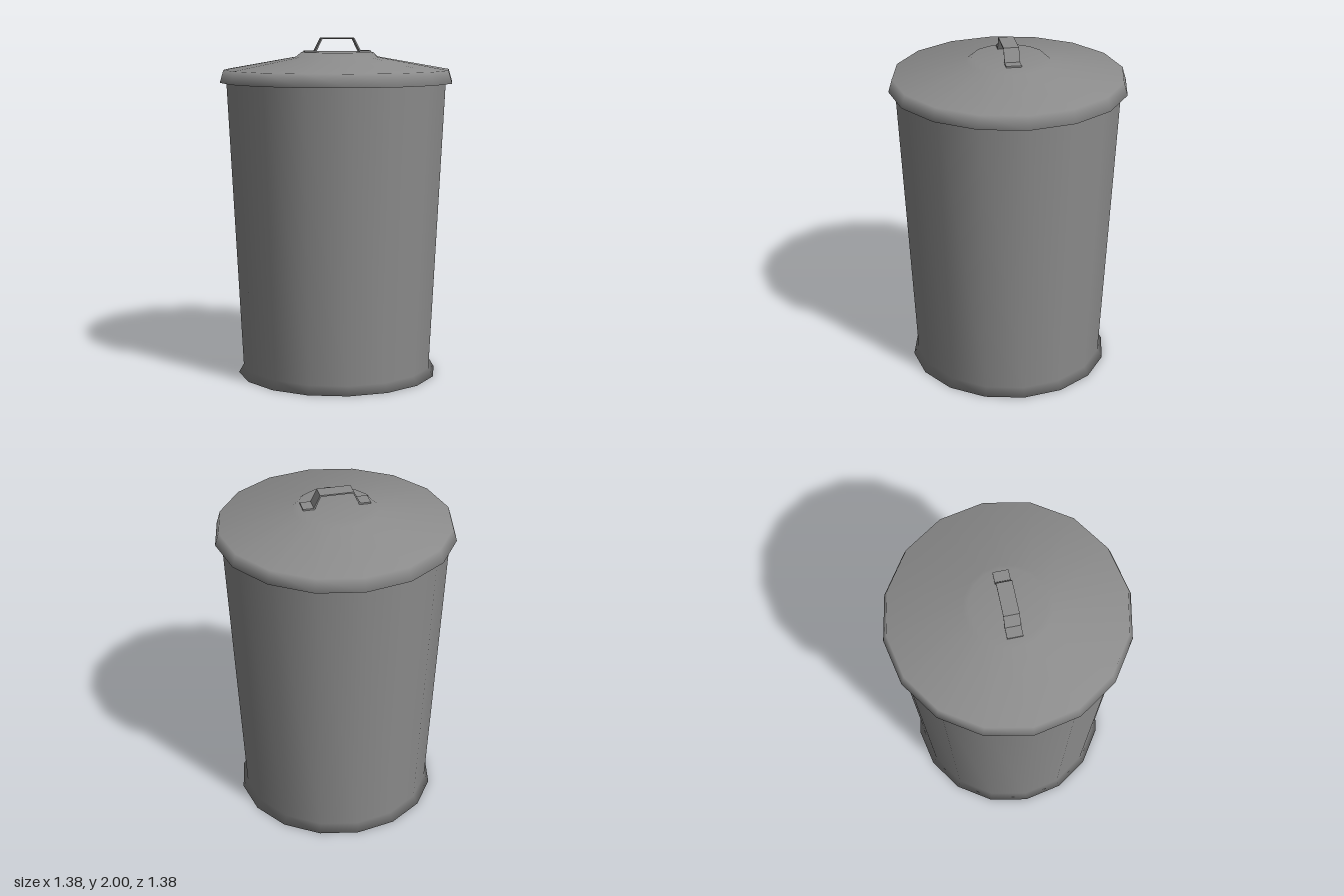
import * as THREE from 'three';

const SIDES = 16;
const FOOT_RADIUS = 0.595;
const material = new THREE.MeshStandardMaterial({ color: 0x8c8c8c });

function part(name, geometry) {
  const mesh = new THREE.Mesh(geometry, material);
  mesh.name = name;
  return mesh;
}

// Turned shape from [radius, height] pairs, listed from bottom to top
function turned(profile) {
  return new THREE.LatheGeometry(profile.map(([r, y]) => new THREE.Vector2(r, y)), SIDES);
}

// Soft shading that rolls from the wall over the foot and under the bottom
function softenFoot(geometry) {
  const { position, normal } = geometry.attributes;
  const n = new THREE.Vector3();
  for (let i = 0; i < position.count; i++) {
    n.fromBufferAttribute(position, i).setY(0).normalize();
    n.y = position.getY(i) < 0.01 ? -0.57 : -0.05;
    n.normalize();
    normal.setXYZ(i, n.x, n.y, n.z);
  }
  return geometry;
}

// Flat bottom, one polygon facing down
function bottomGeometry() {
  const corners = Array.from({ length: SIDES }, (_, i) => {
    const a = (i / SIDES) * Math.PI * 2;
    return new THREE.Vector2(Math.cos(a), Math.sin(a)).multiplyScalar(FOOT_RADIUS);
  });
  return new THREE.ShapeGeometry(new THREE.Shape(corners)).rotateX(Math.PI / 2);
}

// Bent flat strap, extruded across the lid
function strapGeometry() {
  const under = [[0.195, 1.917], [0.128, 1.917], [0.092, 1.992]];
  const over = [[0.195, 1.926], [0.134, 1.926], [0.097, 2]];
  const mirror = (list) => list.map(([x, y]) => [-x, y]);
  const outline = [...under, ...mirror(under).reverse(), ...mirror(over), ...over.slice().reverse()];
  const shape = new THREE.Shape(outline.map(([x, y]) => new THREE.Vector2(x, y)));
  const depth = 0.088;
  return new THREE.ExtrudeGeometry(shape, { depth, bevelEnabled: false }).translate(0, 0, -depth / 2);
}

export function createModel() {
  const group = new THREE.Group();
  group.name = 'dustbin';

  // Tapered body with a small flared foot and a closed bottom
  group.add(part('body', softenFoot(turned([[FOOT_RADIUS, 0], [0.566, 0.05], [0.655, 1.81]]))));
  group.add(part('bottom', softenFoot(bottomGeometry())));

  // Domed lid with an overhanging skirt and a raised centre
  const lid = new THREE.Group();
  lid.name = 'lid';
  lid.add(part('lidCover', turned([
    [0.652, 1.74], [0.69, 1.74], [0.668, 1.815], [0.243, 1.89], [0.212, 1.917], [0, 1.917],
  ])));
  lid.add(part('lidHandle', strapGeometry()));
  group.add(lid);

  return group;
}
